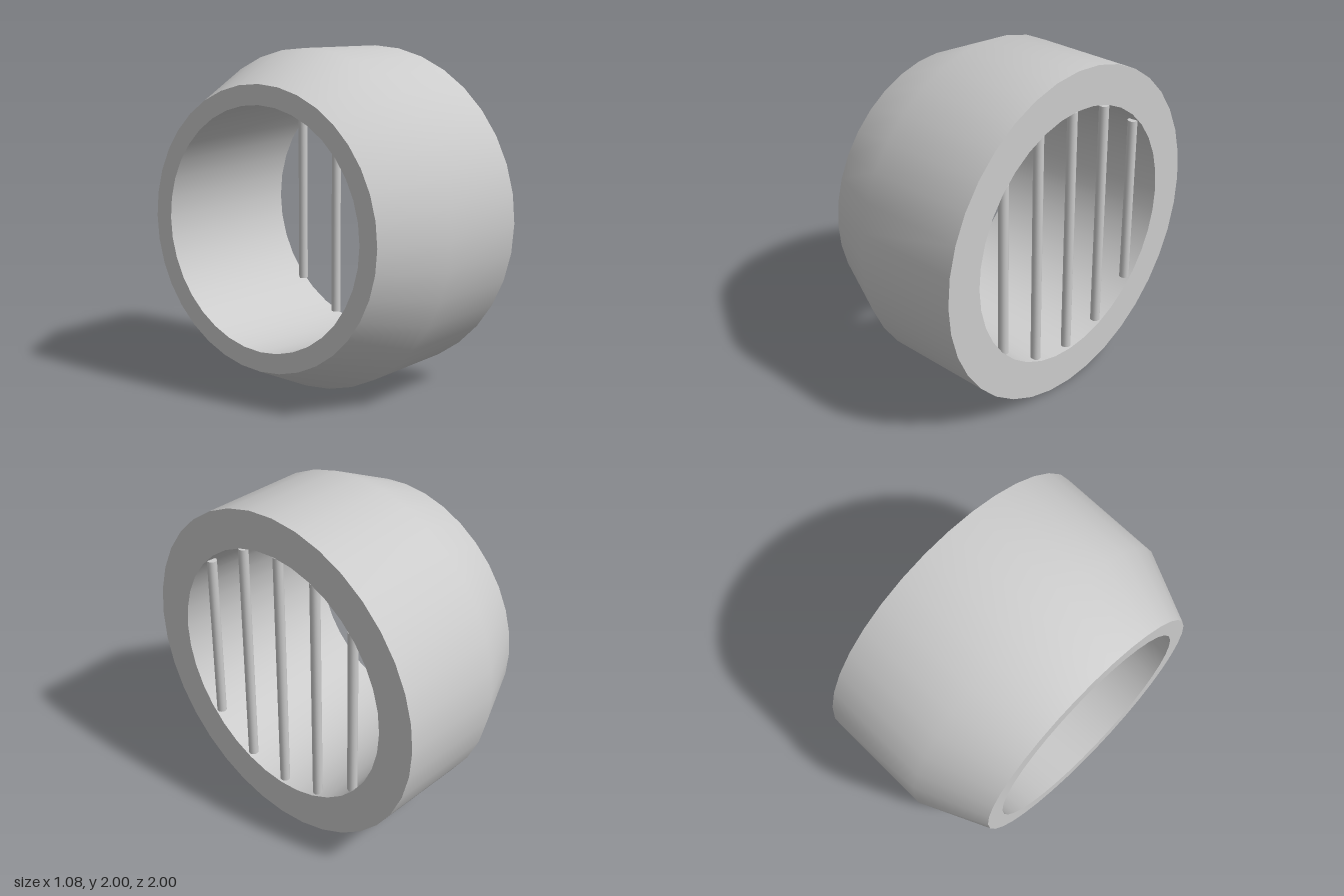
import * as THREE from 'three';
import { toCreasedNormals } from 'three/addons/utils/BufferGeometryUtils.js';

export function createModel() {
  const group = new THREE.Group();
  const material = new THREE.MeshStandardMaterial({ color: 0xcccccc });

  // Hollow housing: closed profile (radius, axial position) with a chamfered end and tapering bore
  const profile = [
    [0.815, -0.54], [1, -0.13], [1, 0.54], [0.77, 0.54], [0.70, -0.54], [0.815, -0.54],
  ].map(([r, a]) => new THREE.Vector2(r, a));
  const housingGeometry = toCreasedNormals(new THREE.LatheGeometry(profile, 36), 0.6);
  housingGeometry.rotateZ(-Math.PI / 2);
  const housing = new THREE.Mesh(housingGeometry, material);
  housing.name = 'housing';
  housing.position.y = 1;
  group.add(housing);

  // Vertical grille bars spanning the wide opening
  const grille = new THREE.Group();
  grille.name = 'grille';
  for (let i = -2; i <= 2; i++) {
    const z = i * 0.274;
    const length = 2 * Math.sqrt(0.76 ** 2 - z * z);
    const bar = new THREE.Mesh(new THREE.CylinderGeometry(0.029, 0.029, length, 16), material);
    bar.name = 'grilleBar';
    bar.position.set(0.505, 1, z);
    grille.add(bar);
  }
  group.add(grille);

  return group;
}
